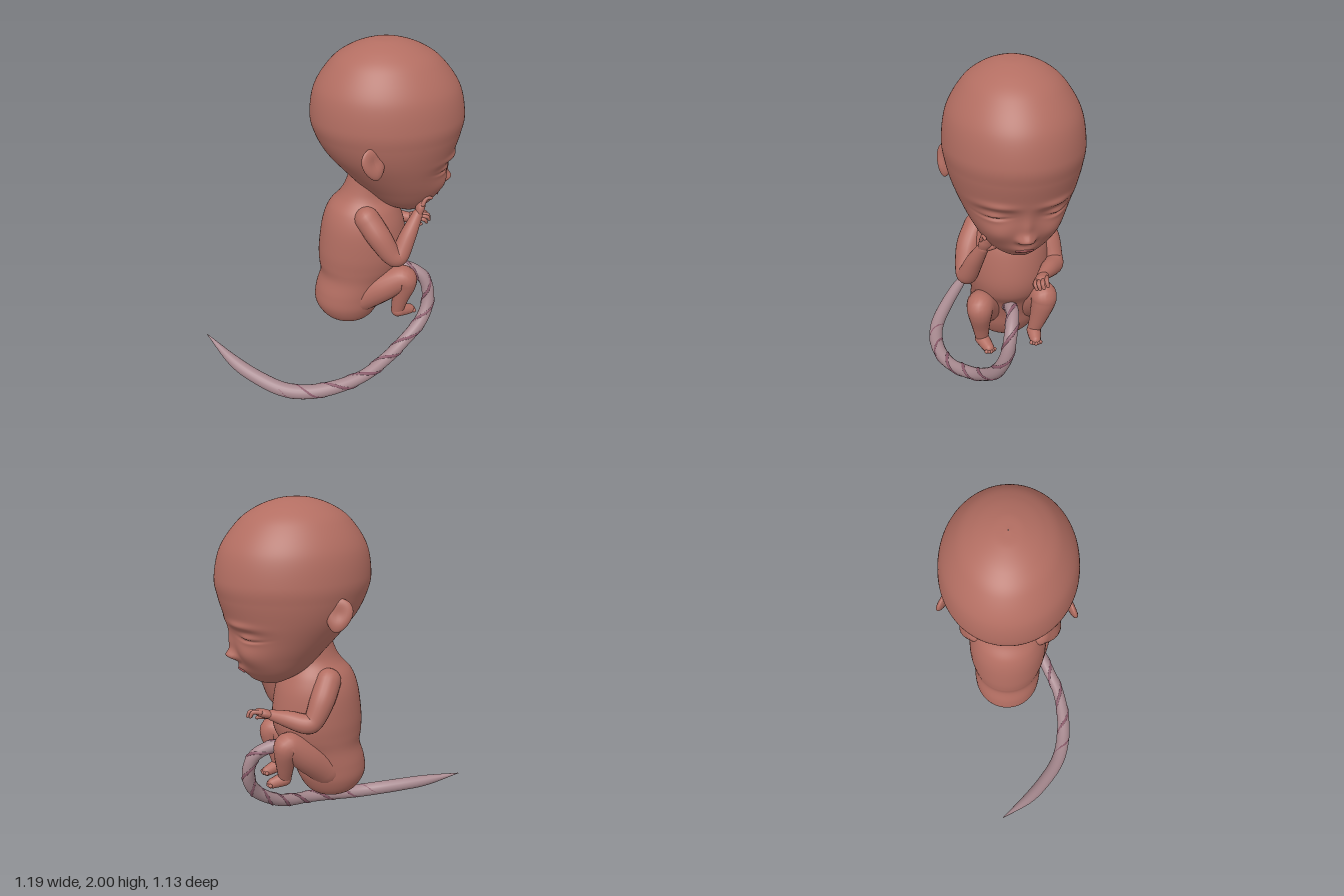
import * as THREE from 'three';

const skinMat = new THREE.MeshStandardMaterial({ color: 0xb36e62 });
const lipMat = new THREE.MeshStandardMaterial({ color: 0x9c4f50 });
const cordMat = new THREE.MeshStandardMaterial({ color: 0xa88a90 });
const veinMat = new THREE.MeshStandardMaterial({ color: 0x8a5a6a });

const V = (a) => new THREE.Vector3(...a);
const spline = (pts) => new THREE.CatmullRomCurve3(pts.map(V), false, 'catmullrom', 0.5);

// Smooth closed skin over a list of equal-length rings of Vector3
function skin(rings) {
  const n = rings[0].length, pos = [], idx = [];
  rings.forEach((r) => r.forEach((p) => pos.push(p.x, p.y, p.z)));
  for (let i = 0; i < rings.length - 1; i++) {
    for (let j = 0; j < n; j++) {
      const a = i * n + j, b = i * n + (j + 1) % n;
      idx.push(a, a + n, b, b, a + n, b + n);
    }
  }
  const g = new THREE.BufferGeometry();
  g.setAttribute('position', new THREE.Float32BufferAttribute(pos, 3));
  g.setIndex(idx);
  g.computeVertexNormals();
  return g;
}

// Loft through upright sections [y, centre z, half width, half depth]
function loft(sections, rows, sides, shape) {
  const c1 = spline(sections.map((s) => [s[0], s[1], s[2]]));
  const c2 = spline(sections.map((s) => [s[0], s[3], 0]));
  const rings = [];
  for (let i = 0; i <= rows; i++) {
    const p = c1.getPoint(i / rows), d = c2.getPoint(i / rows).y, ring = [];
    for (let j = 0; j < sides; j++) {
      const a = (j / sides) * Math.PI * 2;
      const v = new THREE.Vector3(Math.cos(a) * p.z, p.x, p.y + Math.sin(a) * d);
      if (shape) shape(v, Math.sin(a));
      ring.push(v);
    }
    rings.push(ring);
  }
  return skin(rings);
}

// Tube of changing radius with rounded ends
function limb(points, radii, steps = 28, sides = 20) {
  const curve = spline(points), rad = spline(radii.map((r) => [r, 0, 0]));
  const rings = [], N = new THREE.Vector3(0.31, 0.2, 0.93);
  const add = (p, T, r) => {
    N.addScaledVector(T, -N.dot(T)).normalize();
    const B = T.clone().cross(N), ring = [];
    for (let j = 0; j < sides; j++) {
      const a = (j / sides) * Math.PI * 2;
      ring.push(p.clone().addScaledVector(N, Math.cos(a) * r).addScaledVector(B, -Math.sin(a) * r));
    }
    rings.push(ring);
  };
  const cap = (t, dir) => {
    const p = curve.getPoint(t), T = curve.getTangent(t), r = rad.getPoint(t).x;
    for (let k = 0; k < 6; k++) {
      const q = ((dir < 0 ? k : 6 - k - 1) / 6) * Math.PI / 2;
      add(p.clone().addScaledVector(T, dir * r * Math.cos(q)), T, r * Math.sin(q));
    }
  };
  cap(0, -1);
  for (let i = 0; i <= steps; i++) add(curve.getPoint(i / steps), curve.getTangent(i / steps), rad.getPoint(i / steps).x);
  cap(1, 1);
  return skin(rings);
}

function put(parent, name, geo, mat = skinMat) {
  const m = new THREE.Mesh(geo, mat);
  m.name = name;
  parent.add(m);
  return m;
}

const bump = (x, y, cx, cy, sx, sy) => Math.exp(-(((x - cx) / sx) ** 2) - ((y - cy) / sy) ** 2);

// Facial relief, pushed forward on the front half only
function face(v, front) {
  if (front <= 0) return;
  const x = Math.abs(v.x), y = v.y;
  let d = 0.05 * bump(x, y, 0, 1.19, 0.034, 0.03) + 0.018 * bump(x, y, 0, 1.25, 0.028, 0.06); // nose
  d += 0.02 * bump(x, y, 0.032, 1.183, 0.018, 0.018);                                          // nostrils
  d += 0.025 * bump(x, y, 0, 1.11, 0.06, 0.03) + 0.015 * bump(x, y, 0, 1.05, 0.07, 0.025);     // lips, chin
  d += 0.02 * bump(x, y, 0.15, 1.2, 0.07, 0.06);                                               // cheeks
  d += 0.02 * bump(x, y, 0.15, 1.375, 0.08, 0.022);                                            // brow
  d -= 0.032 * bump(x, y, 0.15, 1.32, 0.085, 0.045);                                           // socket
  d += 0.032 * bump(x, y, 0.16, 1.312, 0.055, 0.03);                                           // lid
  d -= 0.02 * bump(x, y, 0.16, 1.3 + 2 * (x - 0.16) ** 2, 0.055, 0.008);                       // lid crease
  v.z += d * Math.min(1, front * 2);
}

// Hand: palm, curled fingers and thumb
function hand(parent, name, at, dir, side) {
  const g = new THREE.Group();
  g.name = name;
  put(g, 'palm', limb([[0, -0.02, 0], [0, 0.02, 0], [0, 0.05, 0]], [0.028, 0.036, 0.032], 10, 14)).scale.z = 0.7;
  for (let i = 0; i < 4; i++) {
    const x = (i - 1.5) * 0.019, l = i === 0 || i === 3 ? 0.085 : 0.1;
    put(g, 'finger', limb([[x, 0.045, 0], [x * 1.1, l, 0.008], [x * 1.05, l + 0.008, 0.035]], [0.012, 0.012, 0.009], 8, 8));
  }
  put(g, 'thumb', limb([[side * 0.02, 0, 0.01], [side * 0.045, 0.03, 0.02], [side * 0.04, 0.06, 0.032]], [0.014, 0.013, 0.01], 8, 8));
  g.position.set(...at);
  g.quaternion.setFromUnitVectors(new THREE.Vector3(0, 1, 0), V(dir).normalize());
  parent.add(g);
}

// Foot: sole with a row of toes
function foot(parent, name, ankle, toe) {
  const g = new THREE.Group();
  g.name = name;
  const a = V(ankle), b = V(toe), mid = a.clone().lerp(b, 0.5);
  put(g, 'sole', limb([a.toArray(), mid.toArray(), b.toArray()], [0.04, 0.036, 0.03], 12, 14));
  const f = b.clone().sub(a).normalize();
  const s = new THREE.Vector3(0, 1, 0).cross(f).normalize();
  for (let i = -2; i <= 2; i++) {
    const t = put(g, 'toe', new THREE.SphereGeometry(0.012, 10, 8));
    t.position.copy(b).addScaledVector(s, i * 0.012).addScaledVector(f, 0.026 - Math.abs(i) * 0.004);
  }
  parent.add(g);
}

export function createModel() {
  const model = new THREE.Group();
  model.name = 'unbornBaby';

  // Body turned halfway between front and left
  const body = new THREE.Group();
  body.name = 'body';
  body.rotation.y = Math.PI / 4;
  body.position.set(0.02, 0, -0.02);
  model.add(body);

  put(body, 'torso', loft([
    [0.295, 0.06, 0.002, 0.002], [0.31, 0.06, 0.085, 0.085], [0.35, 0.055, 0.15, 0.15],
    [0.43, 0.055, 0.19, 0.195], [0.52, 0.07, 0.2, 0.205], [0.62, 0.105, 0.203, 0.212],
    [0.7, 0.13, 0.215, 0.245], [0.8, 0.14, 0.225, 0.255], [0.95, 0.14, 0.22, 0.235],
    [1.05, 0.14, 0.19, 0.2], [1.12, 0.15, 0.145, 0.15], [1.18, 0.165, 0.13, 0.13], [1.28, 0.2, 0.13, 0.13],
  ], 80, 56));

  put(body, 'head', loft([
    [1.015, 0.4, 0.002, 0.002], [1.035, 0.395, 0.085, 0.075], [1.1, 0.37, 0.17, 0.17],
    [1.2, 0.345, 0.235, 0.245], [1.3, 0.31, 0.285, 0.305], [1.4, 0.28, 0.325, 0.36],
    [1.5, 0.267, 0.35, 0.4], [1.6, 0.262, 0.36, 0.418], [1.75, 0.256, 0.334, 0.388],
    [1.88, 0.25, 0.257, 0.298], [1.95, 0.247, 0.174, 0.202], [1.99, 0.245, 0.08, 0.093], [2, 0.245, 0.002, 0.002],
  ], 200, 128, face));

  put(body, 'mouth', limb([[-0.042, 1.102, 0.557], [0, 1.112, 0.57], [0.042, 1.102, 0.557]], [0.005, 0.009, 0.005], 14, 10), lipMat);

  // Ears: flattened discs with a hollow, narrowing to the lobe
  for (const s of [-1, 1]) {
    const g = new THREE.SphereGeometry(1, 32, 24), p = g.attributes.position;
    for (let i = 0; i < p.count; i++) {
      const x = p.getX(i), y = p.getY(i), z = p.getZ(i);
      const dish = s * x > 0 ? 0.6 * bump(y, z, 0.1, 0, 0.5, 0.5) : 0;
      p.setXYZ(i, (x - s * dish) * 0.024, y * 0.088, z * 0.068 * (1 + 0.25 * y));
    }
    g.computeVertexNormals();
    const ear = put(body, s > 0 ? 'leftEar' : 'rightEar', g);
    ear.position.set(s * 0.332, 1.44, 0.13);
    ear.rotation.set(-0.2, -s * 0.45, s * 0.1);
  }

  // Arms: right hand raised to the mouth, left forearm held forward
  const armR = [0.07, 0.068, 0.056, 0.054, 0.046, 0.03];
  put(body, 'rightArm', limb([[-0.17, 1.04, 0.13], [-0.225, 0.95, 0.19], [-0.255, 0.85, 0.255],
    [-0.25, 0.84, 0.3], [-0.22, 0.95, 0.355], [-0.185, 1.055, 0.41]], armR, 40));
  hand(body, 'rightHand', [-0.18, 1.07, 0.42], [0.25, 0.9, 0.3], 1);
  put(body, 'leftArm', limb([[0.17, 1.04, 0.13], [0.215, 0.95, 0.18], [0.235, 0.85, 0.235],
    [0.228, 0.835, 0.28], [0.18, 0.855, 0.36], [0.13, 0.87, 0.435]], armR, 40));
  hand(body, 'leftHand', [0.125, 0.873, 0.45], [-0.35, 0.25, 0.9], -1);

  // Legs: knees drawn up, shins hanging down
  const legR = [0.1, 0.092, 0.075, 0.068, 0.05, 0.036];
  put(body, 'rightLeg', limb([[-0.1, 0.5, 0.12], [-0.155, 0.59, 0.24], [-0.19, 0.652, 0.335],
    [-0.195, 0.62, 0.355], [-0.188, 0.52, 0.335], [-0.18, 0.425, 0.32]], legR, 40));
  foot(body, 'rightFoot', [-0.18, 0.422, 0.325], [-0.155, 0.405, 0.4]);
  put(body, 'leftLeg', limb([[0.1, 0.5, 0.12], [0.135, 0.61, 0.25], [0.155, 0.69, 0.35],
    [0.155, 0.66, 0.37], [0.13, 0.56, 0.37], [0.105, 0.475, 0.365]], legR, 40));
  foot(body, 'leftFoot', [0.105, 0.47, 0.37], [0.1, 0.452, 0.435]);

  // Cord from the belly, sweeping under and behind to a point
  const path = [[0.19, 0.59, 0.19], [0.275, 0.622, 0.265], [0.335, 0.56, 0.37], [0.335, 0.43, 0.415],
    [0.265, 0.3, 0.415], [0.13, 0.19, 0.37], [0, 0.13, 0.335], [-0.15, 0.088, 0.29], [-0.3, 0.06, 0.2],
    [-0.42, 0.046, 0.085], [-0.5, 0.058, -0.04], [-0.545, 0.1, -0.2], [-0.565, 0.155, -0.36], [-0.56, 0.25, -0.57]];
  const radii = [0.034, 0.036, 0.036, 0.037, 0.038, 0.036, 0.037, 0.036, 0.04, 0.042, 0.042, 0.04, 0.033, 0.002];
  const cord = new THREE.Group();
  cord.name = 'cord';
  model.add(cord);
  put(cord, 'cordCore', limb(path, radii, 120, 20), cordMat);

  // Two vessels winding round the cord, almost sunk into it
  const curve = spline(path), rad = spline(radii.map((r) => [r, 0, 0]));
  for (const phase of [0, Math.PI]) {
    const pts = [], N = new THREE.Vector3(0, 1, 0), n = 110;
    for (let i = 0; i <= n; i++) {
      const t = (i / n) * 0.97, T = curve.getTangent(t), r = rad.getPoint(t).x * 0.8, a = phase + t * 38;
      N.addScaledVector(T, -N.dot(T)).normalize();
      const B = T.clone().cross(N);
      pts.push(curve.getPoint(t).addScaledVector(N, Math.cos(a) * r).addScaledVector(B, Math.sin(a) * r).toArray());
    }
    put(cord, 'cordVessel', limb(pts, [0.011, 0.011, 0.011, 0.003], 260, 8), veinMat);
  }
  return model;
}
